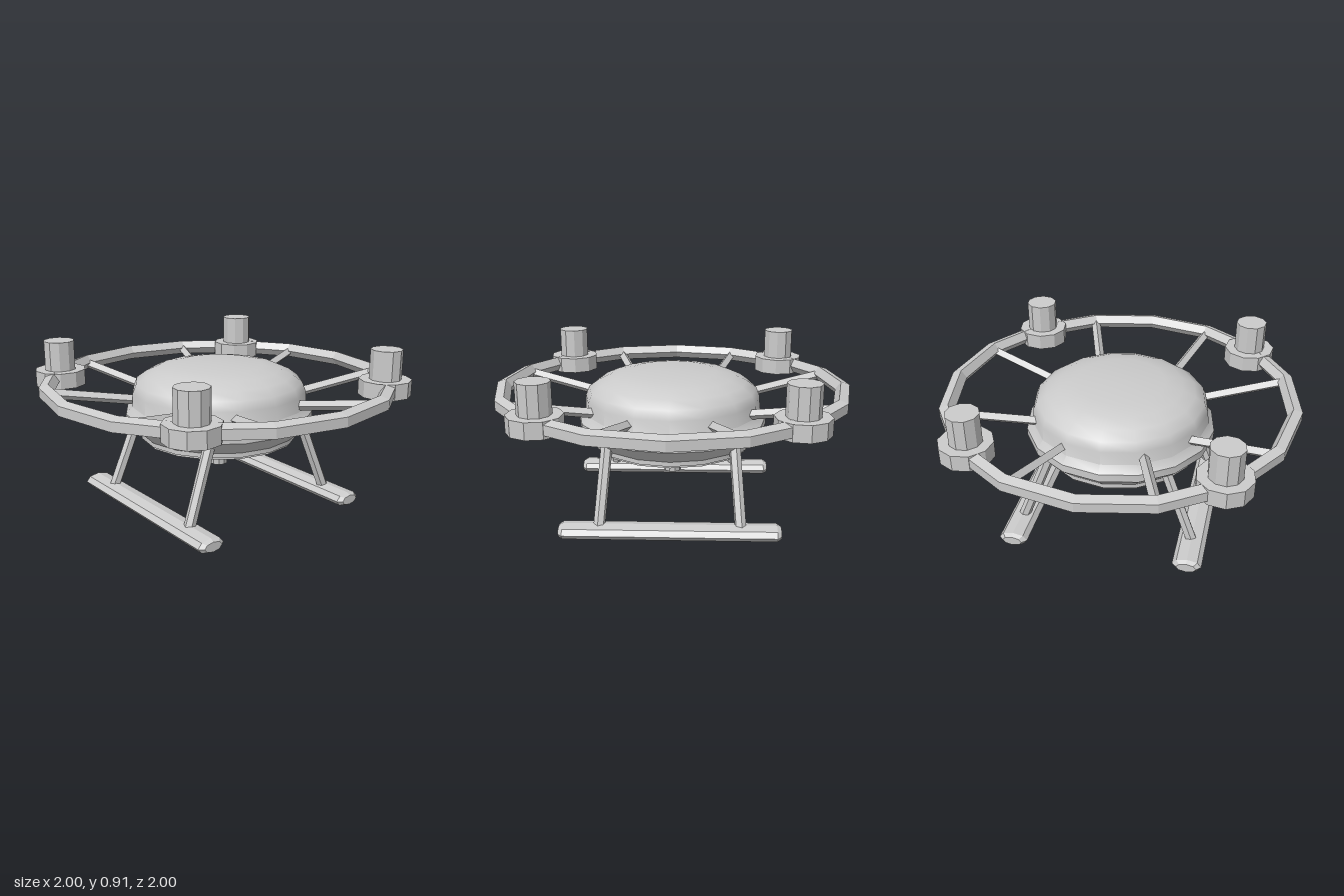
import * as THREE from 'three';
import { toCreasedNormals } from 'three/addons/utils/BufferGeometryUtils.js';

const flat = new THREE.MeshStandardMaterial({ color: 0xcccccc, flatShading: true });
const smooth = new THREE.MeshStandardMaterial({ color: 0xcccccc });

function add(parent, name, geometry, material = flat) {
  const mesh = new THREE.Mesh(geometry, material);
  mesh.name = name;
  parent.add(mesh);
  return mesh;
}

// Straight bar between two points
function addBar(parent, name, a, b, radius, sides) {
  const from = new THREE.Vector3(...a), to = new THREE.Vector3(...b);
  const dir = to.clone().sub(from);
  const bar = add(parent, name, new THREE.CylinderGeometry(radius, radius, dir.length(), sides));
  bar.position.copy(from).add(to).multiplyScalar(0.5);
  // Aim local z along the bar so one edge of the section stays on top
  bar.geometry.rotateX(Math.PI / 2);
  bar.lookAt(to);
  return bar;
}

function lathe(points, sides) {
  return new THREE.LatheGeometry(points.map(([r, y]) => new THREE.Vector2(r, y)), sides);
}

export function createModel() {
  const model = new THREE.Group();
  model.name = 'quadcopter';

  // Domed hull with a bulging waist
  const hull = lathe([
    [0, 0.395], [0.45, 0.395], [0.45, 0.42], [0.535, 0.5], [0.535, 0.545], [0.5, 0.585],
    [0.495, 0.66], [0.475, 0.71], [0.42, 0.75], [0.35, 0.782], [0.25, 0.802], [0, 0.805],
  ], 16);
  add(model, 'hull', toCreasedNormals(hull, 0.7), smooth);

  // Shallow belly plate and the sensor hanging under it
  add(model, 'bellyPlate', lathe([[0, 0.352], [0.07, 0.355], [0.44, 0.383], [0.44, 0.41], [0, 0.41]], 16));
  const sensor = add(model, 'bellySensor', new THREE.CylinderGeometry(0.062, 0.05, 0.17, 10));
  sensor.position.y = 0.295;

  // Guard ring: five-sided section, flat face outwards
  const section = [];
  for (let i = 0; i <= 5; i++) {
    const a = (i - 0.5) * Math.PI * 2 / 5;
    section.push([0.964 + 0.045 * Math.cos(a), 0.703 + 0.045 * Math.sin(a)]);
  }
  add(model, 'guardRing', lathe(section, 16));

  for (const sx of [1, -1]) {
    for (const sz of [1, -1]) {
      // Pair of spokes beside each motor
      addBar(model, 'spoke', [sx * 0.40, 0.61, sz * 0.21], [sx * 0.885, 0.695, sz * 0.367], 0.028, 4);
      addBar(model, 'spoke', [sx * 0.21, 0.61, sz * 0.40], [sx * 0.367, 0.695, sz * 0.885], 0.028, 4);

      // Motor: wide mount and narrower can
      const motor = new THREE.Group();
      motor.name = 'motor';
      motor.position.set(sx * 0.657, 0, sz * 0.657);
      add(motor, 'motorMount', new THREE.CylinderGeometry(0.146, 0.146, 0.09, 10)).position.y = 0.7;
      add(motor, 'motorCan', new THREE.CylinderGeometry(0.089, 0.089, 0.17, 10)).position.y = 0.827;
      motor.rotation.y = Math.atan2(sx, sz);
      model.add(motor);

      // Splayed landing leg
      addBar(model, 'landingLeg', [sx * 0.33, 0.465, sz * 0.345], [sx * 0.49, 0.05, sz * 0.38], 0.032, 6);
    }

    // Flattened skid with bevelled ends
    const skid = add(model, 'skid', lathe([
      [0, -0.595], [0.055, -0.595], [0.08, -0.572], [0.08, 0.572], [0.055, 0.595], [0, 0.595],
    ], 8));
    skid.geometry.rotateX(Math.PI / 2).scale(1, 0.5, 1);
    skid.position.set(sx * 0.49, 0.042, 0);
  }
  return model;
}
